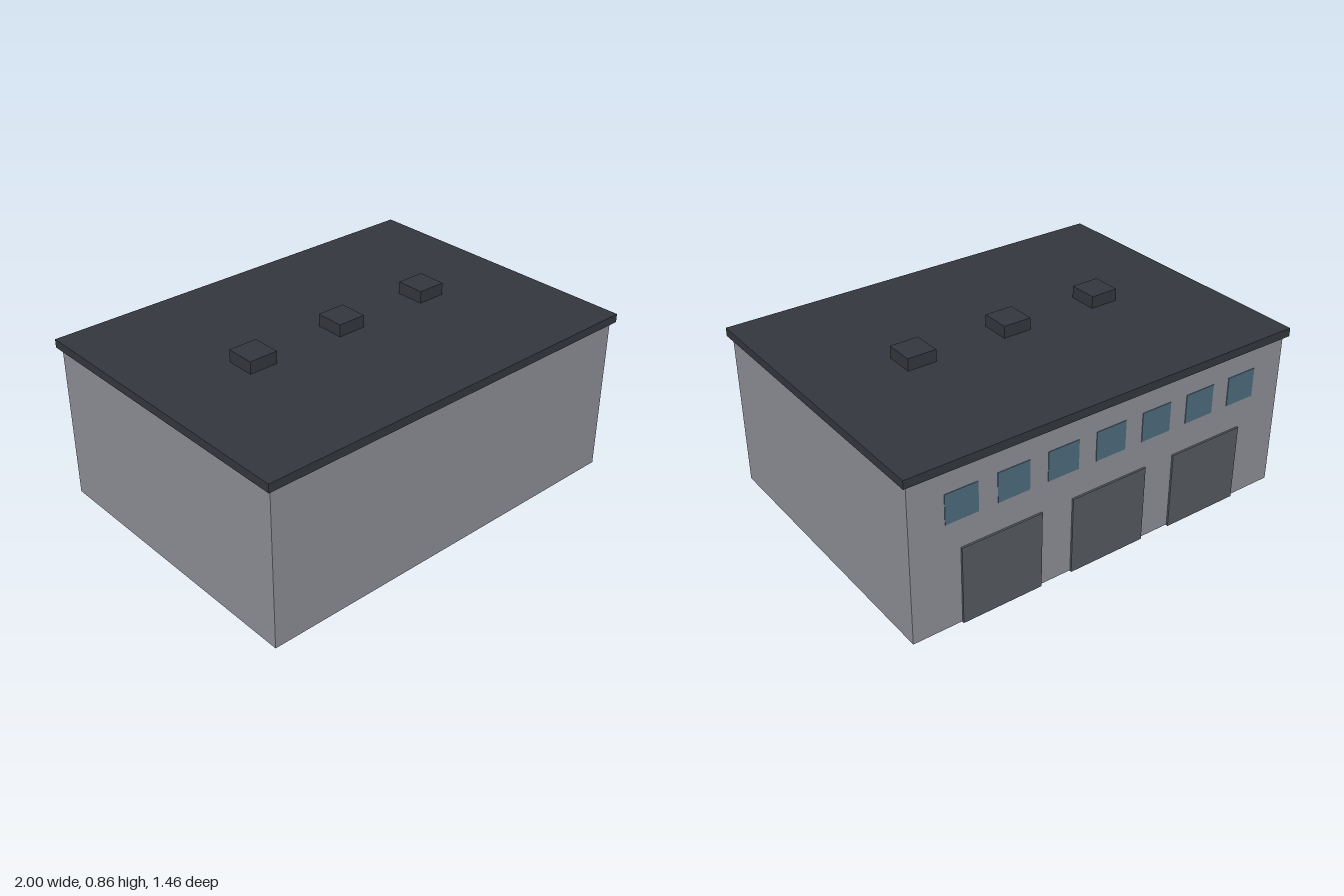
import * as THREE from 'three';

export function createModel() {
  const group = new THREE.Group();
  const paint = (color) => {
    const m = new THREE.MeshStandardMaterial();
    m.color.set(color);
    return m;
  };
  const wall = paint(0x8b8d94), dark = paint(0x33363d);
  const door = paint(0x55585d), glass = paint(0x4d6b7c);

  // Box given by its size, its centre in x and z, and its bottom height
  function box(name, material, w, h, d, x, bottom, z) {
    const mesh = new THREE.Mesh(new THREE.BoxGeometry(w, h, d), material);
    mesh.name = name;
    mesh.position.set(x, bottom + h / 2, z);
    group.add(mesh);
  }

  // Hall and overhanging flat roof
  box('walls', wall, 1.96, 0.756, 1.426, 0, 0.004, 0);
  box('roof', dark, 2, 0.04, 1.464, 0, 0.76, 0);

  // Roof vents and loading doors, three of each
  for (let i = -1; i <= 1; i++) {
    box('roofVent', dark, 0.14, 0.058, 0.14, i * 0.49, 0.8, 0);
    box('loadingDoor', door, 0.392, 0.375, 0.02, i * 0.55, 0, -0.712);
  }

  // Row of windows above the doors
  for (let i = -3; i <= 3; i++) {
    box('window', glass, 0.155, 0.14, 0.01, i * 0.246, 0.512, -0.711);
  }
  return group;
}
